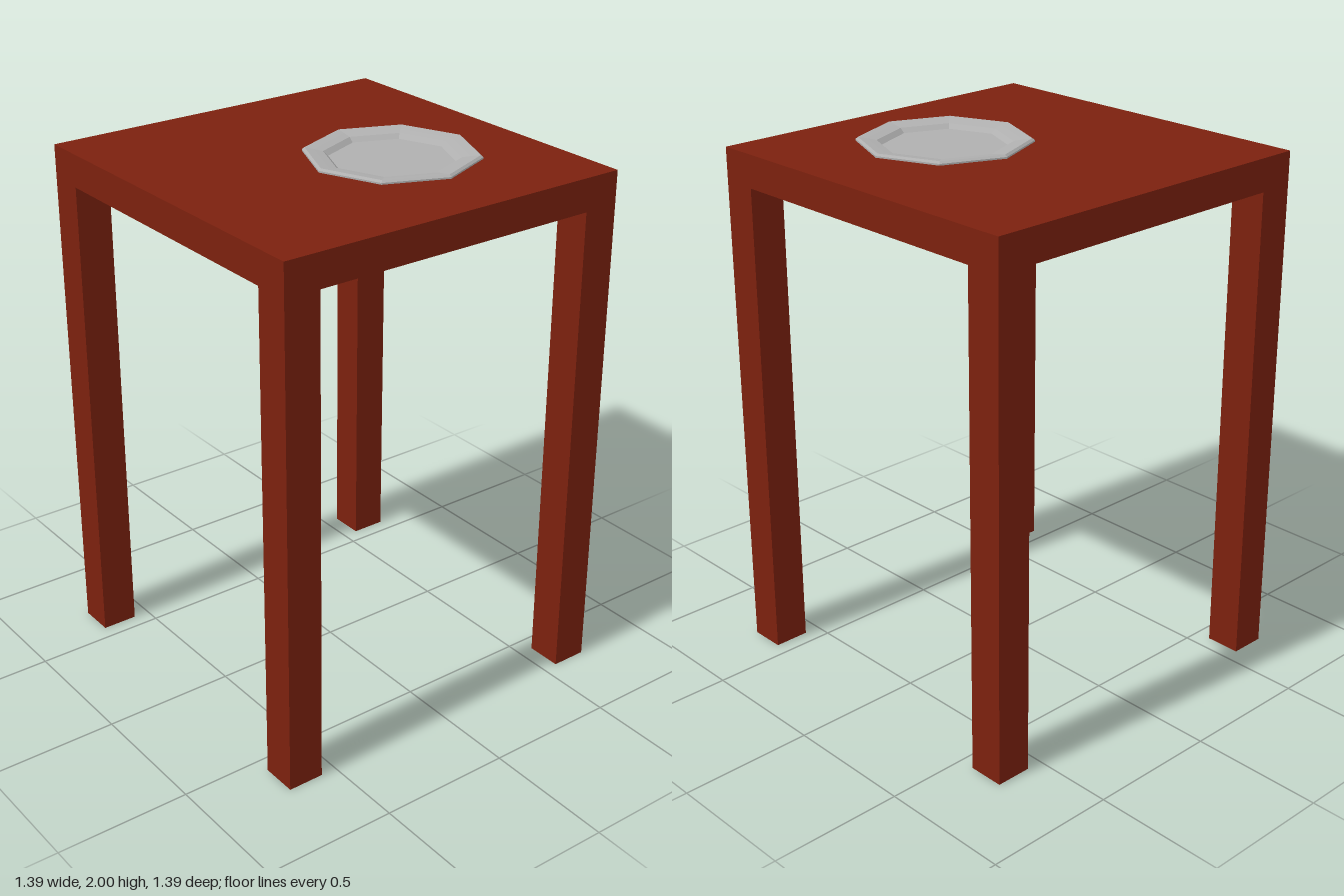
import * as THREE from 'three';

export function createModel() {
  const model = new THREE.Group();
  const wood = new THREE.MeshStandardMaterial({ color: 0x7c210e });
  wood.name = 'red brown wood';
  const china = new THREE.MeshStandardMaterial({ color: 0xb0b0b0, flatShading: true });
  china.name = 'pale grey china';

  const half = 0.697, leg = 0.136, underside = 1.842, topY = 1.965;

  const addBox = (name, w, h, d, x, y, z) => {
    const mesh = new THREE.Mesh(new THREE.BoxGeometry(w, h, d), wood);
    mesh.name = name;
    mesh.position.set(x, y, z);
    model.add(mesh);
  };

  // Table top
  addBox('tableTop', half * 2, topY - underside, half * 2, 0, (topY + underside) / 2, 0);

  // Four square legs, flush with the corners
  const offset = half - leg / 2;
  for (const [sx, xName] of [[1, 'Left'], [-1, 'Right']]) {
    for (const [sz, zName] of [[1, 'front'], [-1, 'back']]) {
      addBox(zName + xName + 'Leg', leg, underside, leg, sx * offset, underside / 2, sz * offset);
    }
  }

  // Eight-sided plate: foot, flared underside, rim, sunken floor
  const profile = [
    [0, 0], [0.215, 0], [0.235, 0.008], [0.314, 0.022], [0.314, 0.028],
    [0.305, 0.035], [0.272, 0.03], [0.24, 0.024], [0.222, 0.008], [0, 0.008],
  ].map(([r, y]) => new THREE.Vector2(r, y));
  const plate = new THREE.Mesh(new THREE.LatheGeometry(profile, 8), china);
  plate.name = 'plate';
  plate.position.set(0.162, topY, -0.144);
  model.add(plate);

  return model;
}
